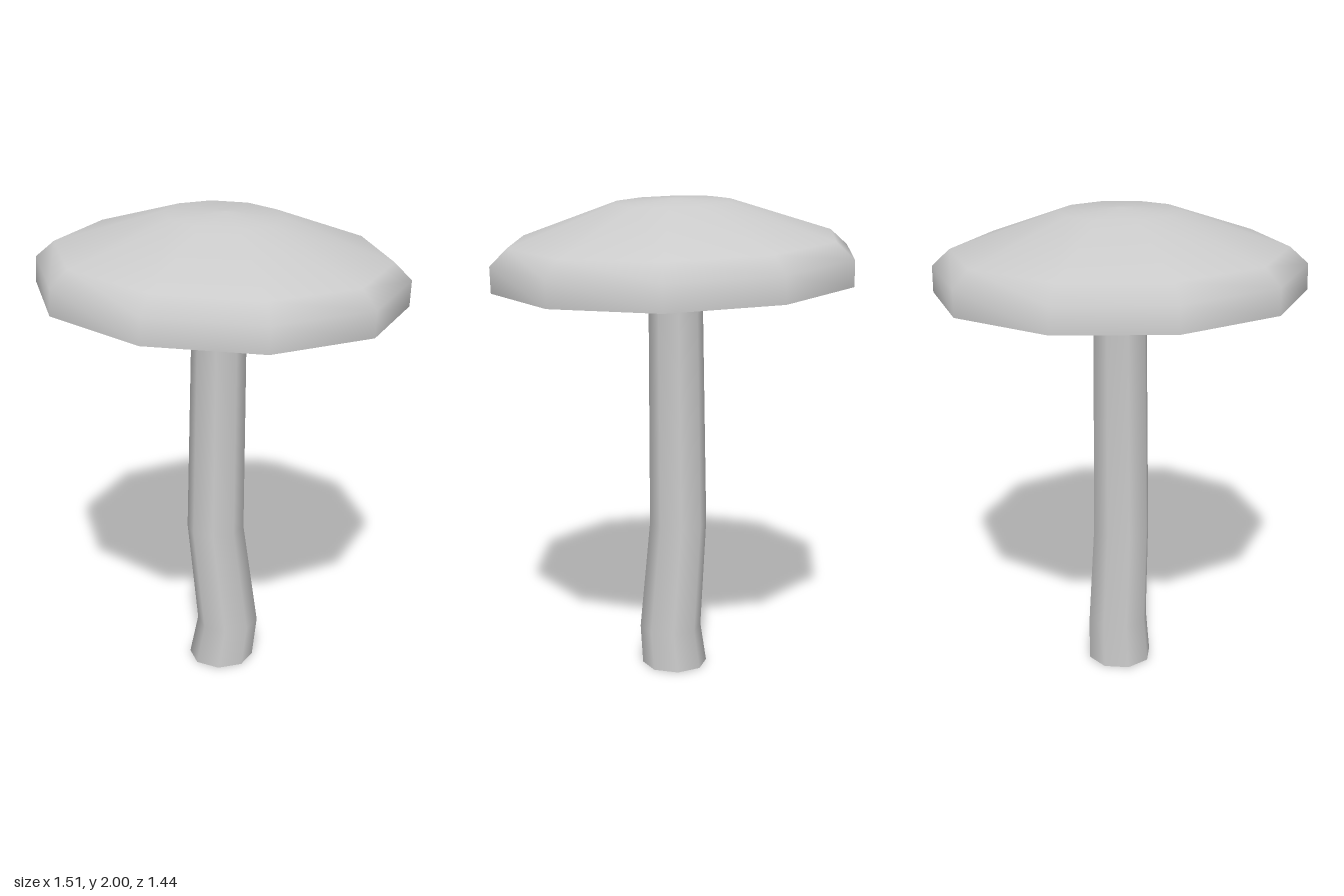
import * as THREE from 'three';

const material = new THREE.MeshStandardMaterial({ color: 0xcccccc, side: THREE.DoubleSide });

function addLathe(parent, name, profile, sides) {
  const points = profile.map(([r, y]) => new THREE.Vector2(r, y));
  const mesh = new THREE.Mesh(new THREE.LatheGeometry(points, sides, Math.PI / 2), material);
  mesh.name = name;
  parent.add(mesh);
  return mesh;
}

export function createModel() {
  const model = new THREE.Group();
  model.name = 'mushroom';

  // Stem: rings of [radius, height, sideways offset], bent along x
  const rings = [
    [0.138, 0, -0.005],
    [0.13, 0.175, 0.023],
    [0.121, 0.625, -0.029],
    [0.113, 1.53, -0.013],
    [0.163, 1.86, 0],
  ];
  const stem = addLathe(model, 'stem', rings, 8);
  const pos = stem.geometry.attributes.position;
  for (let i = 0; i < pos.count; i++) {
    pos.setX(i, pos.getX(i) + rings[i % rings.length][2]);
  }

  // Flat foot closing the stem
  const foot = new THREE.Mesh(new THREE.CircleGeometry(rings[0][0], 8), material);
  foot.name = 'stemBase';
  foot.rotation.x = Math.PI / 2;
  foot.position.x = rings[0][2];
  model.add(foot);

  // Cap: ten-sided dome, leaning slightly to +x
  const cap = new THREE.Group();
  cap.name = 'cap';
  cap.position.y = 1.75;
  cap.rotation.z = -0.043;
  model.add(cap);

  addLathe(cap, 'capTop', [
    [0.755, -0.09], [0.755, 0.017], [0.682, 0.085], [0.245, 0.235], [0, 0.25],
  ], 10);

  // Hollow underside, with a narrow lip at the rim
  addLathe(cap, 'capUnderside', [
    [0, 0.12], [0.23, 0.105], [0.66, -0.02], [0.705, -0.08], [0.755, -0.09],
  ], 10);

  return model;
}
